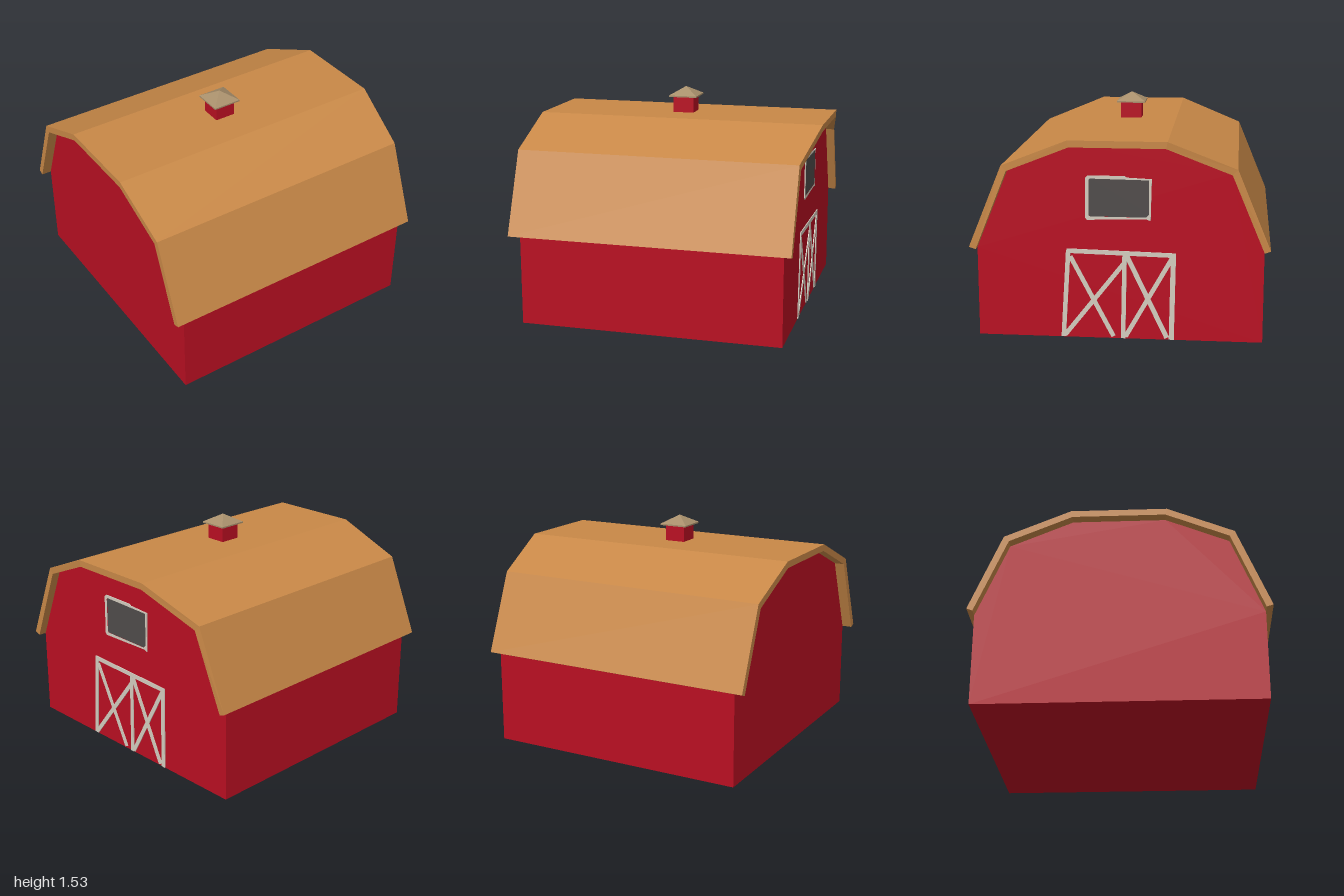
import * as THREE from 'three';

const mat = (name, color) => Object.assign(new THREE.MeshStandardMaterial({ color }), { name });

export function createModel() {
  const barn = new THREE.Group();
  barn.name = 'barn';

  const red = mat('barnRed', 0xb90f22);
  const wood = mat('roofWood', 0xc88847);
  const trim = mat('trimCream', 0xd4cdbf);
  const glass = mat('windowGrey', 0x504c4b);
  const tan = mat('cupolaTan', 0xa88f6b);

  const add = (parent, name, geometry, material) => {
    const mesh = new THREE.Mesh(geometry, material);
    mesh.name = name;
    parent.add(mesh);
    return mesh;
  };

  // Extrudes a [z, y] outline along x from x0 to x1
  const toShape = pts => new THREE.Shape(pts.map(([z, y]) => new THREE.Vector2(-z, y)));
  const extrudeX = (shape, x0, x1) =>
    new THREE.ExtrudeGeometry(shape, { depth: x1 - x0, bevelEnabled: false })
      .rotateY(Math.PI / 2).translate(x0, 0, 0);

  // Gambrel profiles, from the +z eave to the -z eave
  const outer = [[0.99, 0.62], [0.765, 1.17], [0.32, 1.355], [-0.32, 1.355], [-0.765, 1.17], [-0.985, 0.64]];
  const inner = [[0.945, 0.606], [0.73, 1.135], [0.31, 1.31], [-0.31, 1.31], [-0.73, 1.135], [-0.945, 0.624]];

  // Walls with both gables
  add(barn, 'walls', extrudeX(toShape([[0.945, 0], ...inner, [-0.945, 0]]), -0.93, 0.87), red);

  // Roof shell; the +x end sweeps forward to a prow at the ridge
  const roof = extrudeX(toShape([...outer, ...[...inner].reverse()]), -1, 1);
  const p = roof.attributes.position;
  for (let i = 0; i < p.count; i++) {
    if (p.getX(i) < 0) continue;
    const t = THREE.MathUtils.clamp((Math.abs(p.getZ(i)) - 0.32) / 0.445, 0, 1);
    p.setX(i, 1 - 0.075 * t);
  }
  roof.computeVertexNormals();
  add(barn, 'roof', roof, wood);

  // Cupola
  const cupola = new THREE.Group();
  cupola.name = 'cupola';
  cupola.position.x = -0.03;
  barn.add(cupola);
  add(cupola, 'cupolaBox', new THREE.BoxGeometry(0.145, 0.13, 0.145).translate(0, 1.41, 0), red);
  add(cupola, 'cupolaRim', new THREE.BoxGeometry(0.2, 0.01, 0.2).translate(0, 1.47, 0), tan);
  const cap = new THREE.ConeGeometry(0.1 * Math.SQRT2, 0.058, 4, 1).rotateY(Math.PI / 4).toNonIndexed();
  cap.computeVertexNormals();
  add(cupola, 'cupolaRoof', cap.translate(0, 1.504, 0), tan);

  // Loft window on the +x gable
  const wallX = 0.87;
  const frame = toShape([[0.213, 0.81], [0.225, 0.825], [0.222, 1.09], [0.205, 1.105],
    [-0.035, 1.105], [-0.05, 1.095], [-0.212, 1.088], [-0.205, 0.81], [-0.18, 0.82]]);
  const pane = [[0.2, 0.84], [0.2, 1.075], [0.19, 1.085], [-0.195, 1.08], [-0.195, 0.855], [-0.175, 0.833], [0.19, 0.833]];
  frame.holes.push(new THREE.Path(toShape(pane).getPoints()));
  add(barn, 'windowFrame', extrudeX(frame, wallX, wallX + 0.006), trim);
  add(barn, 'windowPane', extrudeX(toShape(pane), wallX, wallX + 0.004), glass);

  // Barn door trim: [z, y] start, [z, y] end, width
  const bars = [
    [[0.338, 0.6], [0.375, 0.004], 0.03],
    [[-0.355, 0.59], [-0.345, 0.002], 0.034],
    [[-0.035, 0.59], [-0.024, 0.002], 0.03],
    [[0.35, 0.597], [-0.37, 0.581], 0.03],
    [[0.325, 0.56], [0.04, 0.014], 0.03],
    [[-0.03, 0.52], [0.365, 0.014], 0.03],
    [[-0.05, 0.57], [-0.315, 0.014], 0.032],
    [[-0.345, 0.56], [-0.04, 0.014], 0.03],
  ];
  const door = new THREE.Group();
  door.name = 'doorTrim';
  door.position.x = wallX + 0.003;
  barn.add(door);
  for (const [[z0, y0], [z1, y1], width] of bars) {
    const length = Math.hypot(z1 - z0, y1 - y0);
    const bar = add(door, 'doorBar', new THREE.BoxGeometry(0.006, width, length), trim);
    bar.position.set(0, (y0 + y1) / 2, (z0 + z1) / 2);
    bar.rotation.x = -Math.atan2(y1 - y0, z1 - z0);
  }

  return barn;
}
